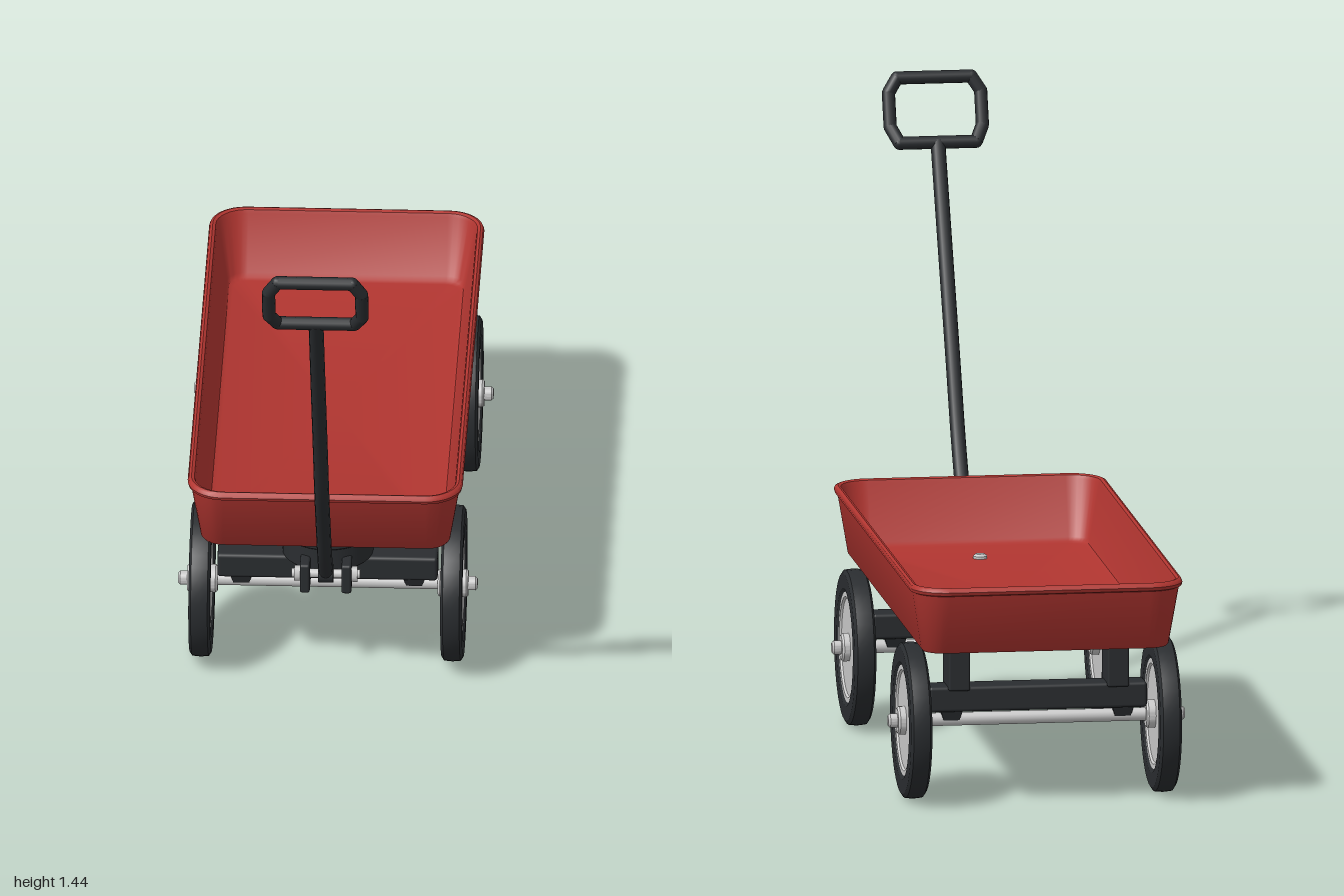
import * as THREE from 'three';
import { toCreasedNormals } from 'three/addons/utils/BufferGeometryUtils.js';
import { RoundedBoxGeometry } from 'three/addons/geometries/RoundedBoxGeometry.js';

const red = new THREE.MeshStandardMaterial({ color: 0xb03530 });
const black = new THREE.MeshStandardMaterial({ color: 0x2a2d30 });
const grey = new THREE.MeshStandardMaterial({ color: 0xcccccc });
const V = (x, y, z) => new THREE.Vector3(x, y, z);

function add(parent, name, geometry, material, x = 0, y = 0, z = 0) {
  const mesh = new THREE.Mesh(geometry, material);
  mesh.name = name;
  mesh.position.set(x, y, z);
  parent.add(mesh);
  return mesh;
}

const box = (w, h, d, r = 0.008) => new RoundedBoxGeometry(w, h, d, 2, r);
const cylinderX = (r, length, sides = 20) =>
  new THREE.CylinderGeometry(r, r, length, sides).rotateZ(Math.PI / 2);
const lathe = (points, sides = 40) => toCreasedNormals(
  new THREE.LatheGeometry(points.map(([r, h]) => new THREE.Vector2(r, h)), sides), 0.5);

// Round rod from one point to another, with ball joints at both ends
function rod(parent, name, a, b, radius) {
  const mesh = add(parent, name, new THREE.CylinderGeometry(radius, radius, a.distanceTo(b), 12), black);
  mesh.position.copy(a).lerp(b, 0.5);
  mesh.quaternion.setFromUnitVectors(V(0, 1, 0), b.clone().sub(a).normalize());
  add(parent, name + 'Joint', new THREE.SphereGeometry(radius, 12, 8), black, a.x, a.y, a.z);
}

// Tray: rounded rectangles lofted from the underside, over the rim, to the floor
function trayGeometry() {
  const midZ = -0.272, steps = 8;
  // half width, half length, corner radius, height
  const sections = [
    [0, 0, 0, 0.388], [0.296, 0.67, 0.05, 0.388], [0.3, 0.675, 0.055, 0.393],
    [0.323, 0.714, 0.08, 0.535], [0.329, 0.722, 0.086, 0.538], [0.331, 0.725, 0.088, 0.546],
    [0.328, 0.721, 0.085, 0.553], [0.322, 0.714, 0.08, 0.556], [0.315, 0.706, 0.074, 0.553],
    [0.312, 0.702, 0.072, 0.545], [0.287, 0.65, 0.048, 0.412], [0.282, 0.641, 0.043, 0.403],
    [0.272, 0.63, 0.035, 0.4], [0, 0, 0, 0.4],
  ];
  const n = 4 * (steps + 1), position = [], index = [];
  sections.forEach(([w, l, r, y], s) => {
    for (let i = 0; i < n; i++) {
      const corner = Math.floor(i / (steps + 1));
      const angle = (corner + (i % (steps + 1)) / steps) * Math.PI / 2;
      const sx = corner === 0 || corner === 3 ? 1 : -1, sz = corner < 2 ? 1 : -1;
      position.push(sx * (w - r) + r * Math.cos(angle), y, midZ + sz * (l - r) + r * Math.sin(angle));
      if (s === 0) continue;
      const j = (i + 1) % n, a = (s - 1) * n + i, b = (s - 1) * n + j, c = s * n + i, d = s * n + j;
      if (s > 1) index.push(a, c, b);
      if (s < sections.length - 1) index.push(b, c, d);
    }
  });
  const geometry = new THREE.BufferGeometry();
  geometry.setAttribute('position', new THREE.Float32BufferAttribute(position, 3));
  geometry.setIndex(index);
  return toCreasedNormals(geometry, 0.7);
}

// Wheel built around y, then turned so its outer side faces +x or -x
function wheel(side) {
  const g = new THREE.Group();
  g.name = side > 0 ? 'leftWheel' : 'rightWheel';
  add(g, 'tyre', lathe([[0.132, -0.02], [0.142, -0.026], [0.178, -0.026], [0.187, -0.02],
    [0.189, 0], [0.187, 0.02], [0.178, 0.026], [0.142, 0.026], [0.132, 0.02]]), black);
  add(g, 'wheelDisc', lathe([[0, -0.016], [0.118, -0.016], [0.122, -0.021], [0.138, -0.021],
    [0.138, 0.021], [0.122, 0.021], [0.118, 0.016], [0, 0.016]]), grey);
  add(g, 'hub', lathe([[0, -0.038], [0.03, -0.038], [0.034, -0.033],
    [0.034, 0.03], [0.03, 0.035], [0, 0.035]], 24), grey);
  add(g, 'axleCap', lathe([[0, 0.03], [0.017, 0.03], [0.017, 0.052], [0.012, 0.057], [0, 0.057]], 16), grey);
  g.rotation.z = -side * Math.PI / 2;
  g.position.x = side * 0.303;
  return g;
}

// Axle, cross beam, clamps and a pair of wheels
function axleSet(name, z) {
  const g = new THREE.Group();
  g.name = name;
  g.position.set(0, 0.19, z);
  add(g, 'axle', cylinderX(0.016, 0.69), grey);
  add(g, 'crossBeam', box(0.53, 0.062, 0.075), black, 0, 0.054, 0);
  for (const side of [-1, 1]) {
    g.add(wheel(side));
    const clamp = new THREE.CylinderGeometry(0.038, 0.027, 0.026, 4, 1).rotateY(Math.PI / 4);
    add(g, 'axleClamp', toCreasedNormals(clamp, 0.3), black, side * 0.208, 0.013, 0);
  }
  return g;
}

export function createModel() {
  const wagon = new THREE.Group();
  wagon.name = 'wagon';
  const frontZ = 0.205, rearZ = -0.745;

  add(wagon, 'tray', trayGeometry(), red);
  add(wagon, 'floorBolt', lathe([[0, 0], [0.017, 0], [0.017, 0.007], [0.011, 0.012], [0, 0.013]], 16),
    grey, 0, 0.399, 0.2);

  // Running gear
  const front = axleSet('frontAxle', frontZ);
  wagon.add(front, axleSet('rearAxle', rearZ));
  for (const side of [-1, 1])
    add(wagon, 'rearPost', box(0.052, 0.125, 0.1, 0.005), black, side * 0.193, 0.329, rearZ);
  add(wagon, 'turntable', lathe([[0, 0.272], [0.105, 0.272], [0.109, 0.276], [0.109, 0.332],
    [0.116, 0.337], [0.116, 0.389], [0, 0.389]], 32), black, 0, 0, frontZ);

  // Handle pivot
  const pivotY = 0.275, pivotZ = 0.325;
  for (const side of [-1, 1]) {
    add(wagon, 'pivotBracket', box(0.024, 0.076, 0.125, 0.006), black, side * 0.05, 0.272, 0.29);
    add(wagon, 'pivotNut', cylinderX(0.019, 0.014, 6), grey, side * 0.069, pivotY, pivotZ);
  }
  add(wagon, 'pivotPin', cylinderX(0.011, 0.165), grey, 0, pivotY, pivotZ);

  // Pull handle
  const handle = new THREE.Group();
  handle.name = 'handle';
  wagon.add(handle);
  const path = new THREE.CatmullRomCurve3([V(0, pivotY, pivotZ), V(0, 0.37, 0.405), V(0, 0.48, 0.48),
    V(0, 0.62, 0.57), V(0, 0.8, 0.662), V(0, 0.98, 0.757), V(0, 1.285, 0.917)]);
  add(handle, 'pullBar', new THREE.TubeGeometry(path, 48, 0.018, 12), black);
  add(handle, 'pivotEye', cylinderX(0.022, 0.036), black, 0, pivotY, pivotZ);

  // Grip: closed loop with cut corners, leaning forward
  const half = [[0.093, 1.283, 0.915], [0.112, 1.318, 0.943], [0.112, 1.396, 0.973], [0.09, 1.43, 0.983]];
  const loop = [...half.map(p => V(...p)), ...half.slice().reverse().map(([x, y, z]) => V(-x, y, z))];
  loop.forEach((p, i) => rod(handle, 'grip', p, loop[(i + 1) % loop.length], 0.016));

  return wagon;
}
